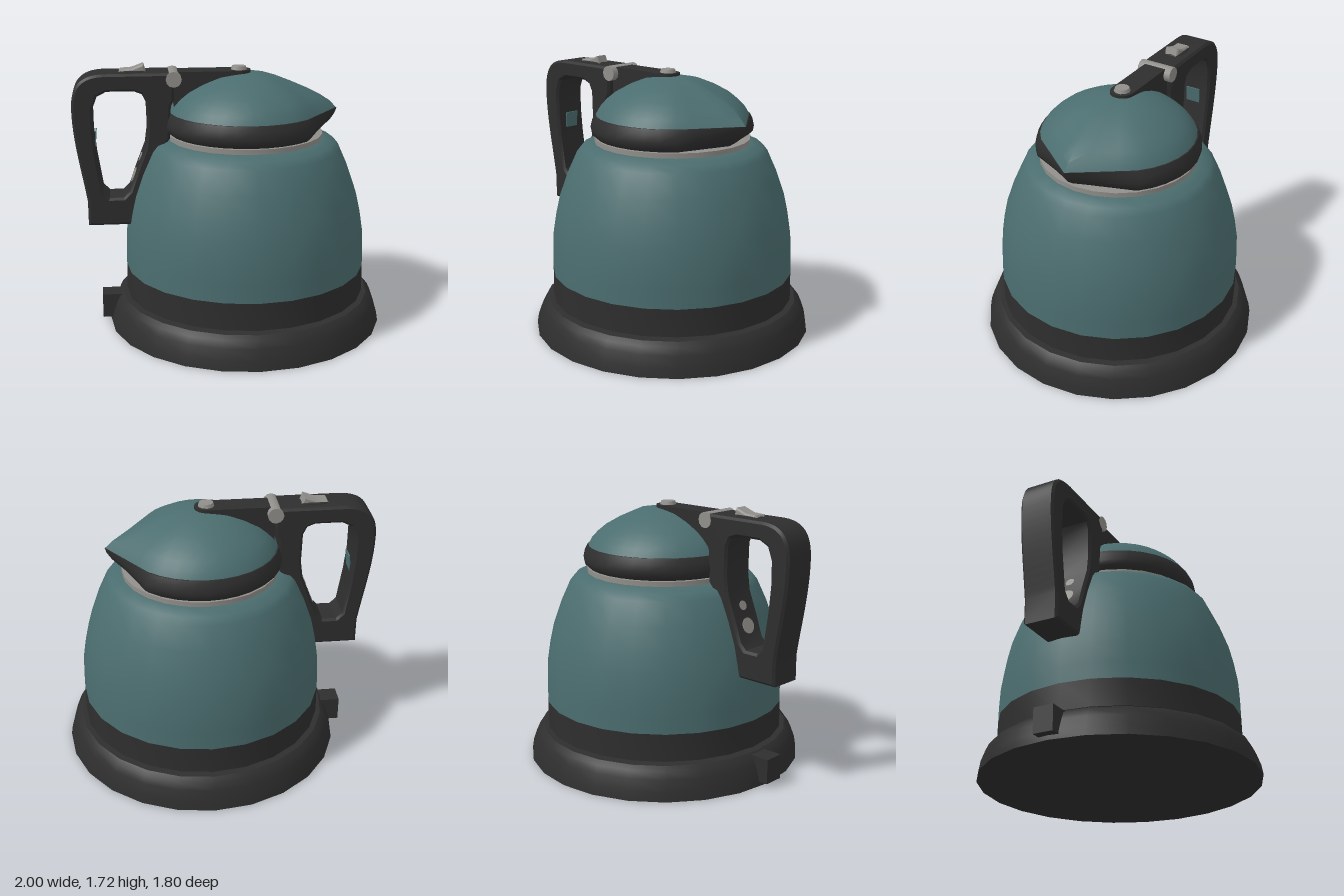
import * as THREE from 'three';
import { toCreasedNormals } from 'three/addons/utils/BufferGeometryUtils.js';

const CX = 0.1; // axis of the round parts

export function createModel() {
  const group = new THREE.Group();
  const mat = (name, color) => Object.assign(new THREE.MeshStandardMaterial({ color }), { name });
  const teal = mat('teal enamel', 0x4b6d6f);
  const black = mat('black plastic', 0x2e2e2e);
  const steel = mat('brushed steel', 0x918f8b);

  const add = (name, geo, material, x = 0, y = 0, z = 0) => {
    const mesh = new THREE.Mesh(geo, material);
    mesh.name = name;
    mesh.position.set(x, y, z);
    group.add(mesh);
    return mesh;
  };
  const points = (list) => list.map(([x, y]) => new THREE.Vector2(x, y));
  const lathe = (name, profile, material) =>
    add(name, toCreasedNormals(new THREE.LatheGeometry(points(profile), 24), 0.6), material, CX);

  // Side outline extruded across z, with chamfered edges
  const plate = (name, shape, width, bevel, material) => {
    const geo = new THREE.ExtrudeGeometry(shape, {
      depth: width - 2 * bevel, bevelEnabled: bevel > 0, bevelThickness: bevel,
      bevelSize: bevel, bevelOffset: -bevel, bevelSegments: 1,
    });
    geo.translate(0, 0, bevel - width / 2);
    return add(name, toCreasedNormals(geo, 0.5), material);
  };

  // Power base, with the pivot and cord outlet
  lathe('powerBase', [[0, 0], [0.9, 0], [0.89, 0.06], [0.865, 0.13], [0.845, 0.175], [0.815, 0.2], [0, 0.205]], black);
  add('basePivot', new THREE.CylinderGeometry(0.14, 0.14, 0.03, 16), black, CX, 0.21);
  add('cordOutlet', new THREE.BoxGeometry(0.15, 0.16, 0.13), black, -0.775, 0.11);

  // Jug
  lathe('jugFoot', [[0, 0.215], [0.785, 0.215], [0.783, 0.39]], black);
  lathe('jugBody', [[0.783, 0.39], [0.782, 0.5], [0.776, 0.63], [0.755, 0.76], [0.728, 0.88], [0.675, 1.03],
    [0.612, 1.17], [0.58, 1.21], [0.5, 1.237], [0.4, 1.24]], teal);
  lathe('neckRing', [[0.4, 1.225], [0.5, 1.225], [0.5, 1.268], [0.4, 1.272]], steel);

  // Lid rings [radius, spout reach, y]: circles drawn out to a point at +x
  const lidGeometry = (rings) => {
    const sides = 32, reach = Math.PI / 4, pos = [], index = [];
    rings.forEach(([r, tip, y]) => {
      for (let j = 0; j < sides; j++) {
        let a = (j / sides) * Math.PI * 2;
        if (a > Math.PI) a -= Math.PI * 2;
        let x = r * Math.cos(a), z = -r * Math.sin(a);
        const t = Math.abs(a) / reach;
        if (t < 1) {
          x = tip + (r * Math.cos(reach) - tip) * t;
          z = -Math.sign(a) * r * Math.sin(reach) * t;
        }
        pos.push(x, y, z);
      }
    });
    for (let i = 0; i < rings.length - 1; i++) {
      for (let j = 0; j < sides; j++) {
        const a = i * sides + j, b = i * sides + (j + 1) % sides;
        index.push(a, b, b + sides, a, b + sides, a + sides);
      }
    }
    const geo = new THREE.BufferGeometry();
    geo.setAttribute('position', new THREE.Float32BufferAttribute(pos, 3));
    geo.setIndex(index);
    return toCreasedNormals(geo, 0.7);
  };
  add('lidBand', lidGeometry([[0.001, 0.001, 1.272], [0.49, 0.47, 1.272], [0.515, 0.51, 1.295],
    [0.522, 0.555, 1.33], [0.512, 0.585, 1.375], [0.495, 0.597, 1.41], [0.46, 0.55, 1.412]]), black, CX);
  add('lidDome', lidGeometry([[0.488, 0.592, 1.41], [0.462, 0.55, 1.455], [0.425, 0.49, 1.495], [0.37, 0.405, 1.54],
    [0.28, 0.29, 1.59], [0.18, 0.19, 1.63], [0.08, 0.08, 1.65], [0.001, 0.001, 1.655]]), teal, CX);

  // Handle with grip opening
  const handle = new THREE.Shape();
  handle.moveTo(-0.92, 0.69);
  handle.lineTo(-0.64, 0.69);
  handle.lineTo(-0.59, 0.9);
  handle.lineTo(-0.49, 1.14);
  handle.lineTo(-0.42, 1.21);
  handle.lineTo(-0.39, 1.25);
  handle.lineTo(-0.38, 1.46);
  handle.lineTo(-0.36, 1.5);
  handle.lineTo(-0.36, 1.67);
  handle.lineTo(-0.8, 1.67);
  handle.bezierCurveTo(-0.94, 1.665, -1, 1.6, -1, 1.45);
  handle.bezierCurveTo(-1, 1.25, -0.95, 1.05, -0.92, 0.85);
  const opening = points([[-0.82, 0.91], [-0.78, 0.87], [-0.69, 0.87], [-0.65, 0.91], [-0.6, 1.05], [-0.545, 1.19],
    [-0.53, 1.3], [-0.535, 1.49], [-0.56, 1.54], [-0.61, 1.56], [-0.78, 1.56], [-0.84, 1.53], [-0.87, 1.45],
    [-0.87, 1.3], [-0.855, 1.14]]);
  handle.holes.push(new THREE.Path(opening));
  plate('handle', handle, 0.23, 0.015, black);

  // Inlays inside the grip opening
  const inlay = add('gripInlay', new THREE.BoxGeometry(0.008, 0.15, 0.1), teal, -0.861, 1.22);
  inlay.rotation.z = -0.09;
  [[-0.62, 0.994, 0.05], [-0.575, 1.113, 0.03]].forEach(([x, y, r], i) => {
    const dot = add('gripIndicator' + (i + 1), new THREE.CylinderGeometry(r, r, 0.009, 12), steel, x, y);
    dot.rotation.z = Math.PI / 2 - 0.36;
  });

  // Arm from the hinge to the lid top, with a rounded end
  const arm = new THREE.Shape(points([[-0.36, 1.67], [-0.36, 1.44], [-0.3, 1.46], [-0.1, 1.58], [0.06, 1.63], [0.06, 1.67]]));
  plate('lidArm', arm, 0.15, 0, black);
  add('lidArmEnd', new THREE.CylinderGeometry(0.075, 0.075, 0.05, 16), black, 0.06, 1.645);
  add('lidButton', new THREE.CylinderGeometry(0.045, 0.055, 0.03, 10), steel, 0.06, 1.677);

  // Hinge pin
  add('hingePin', new THREE.CylinderGeometry(0.05, 0.05, 0.235, 12), steel, -0.36, 1.63).rotation.x = Math.PI / 2;

  // Rocker switch in an oval surround
  const surround = new THREE.CapsuleGeometry(0.065, 0.06, 4, 12);
  surround.rotateZ(Math.PI / 2);
  surround.scale(1, 0.23, 1);
  add('switchSurround', surround, black, -0.615, 1.668);
  const rocker = new THREE.Shape(points([[-0.7, 1.672], [-0.53, 1.67], [-0.545, 1.718], [-0.62, 1.69], [-0.69, 1.686]]));
  plate('rockerSwitch', rocker, 0.095, 0.01, steel);

  return group;
}
